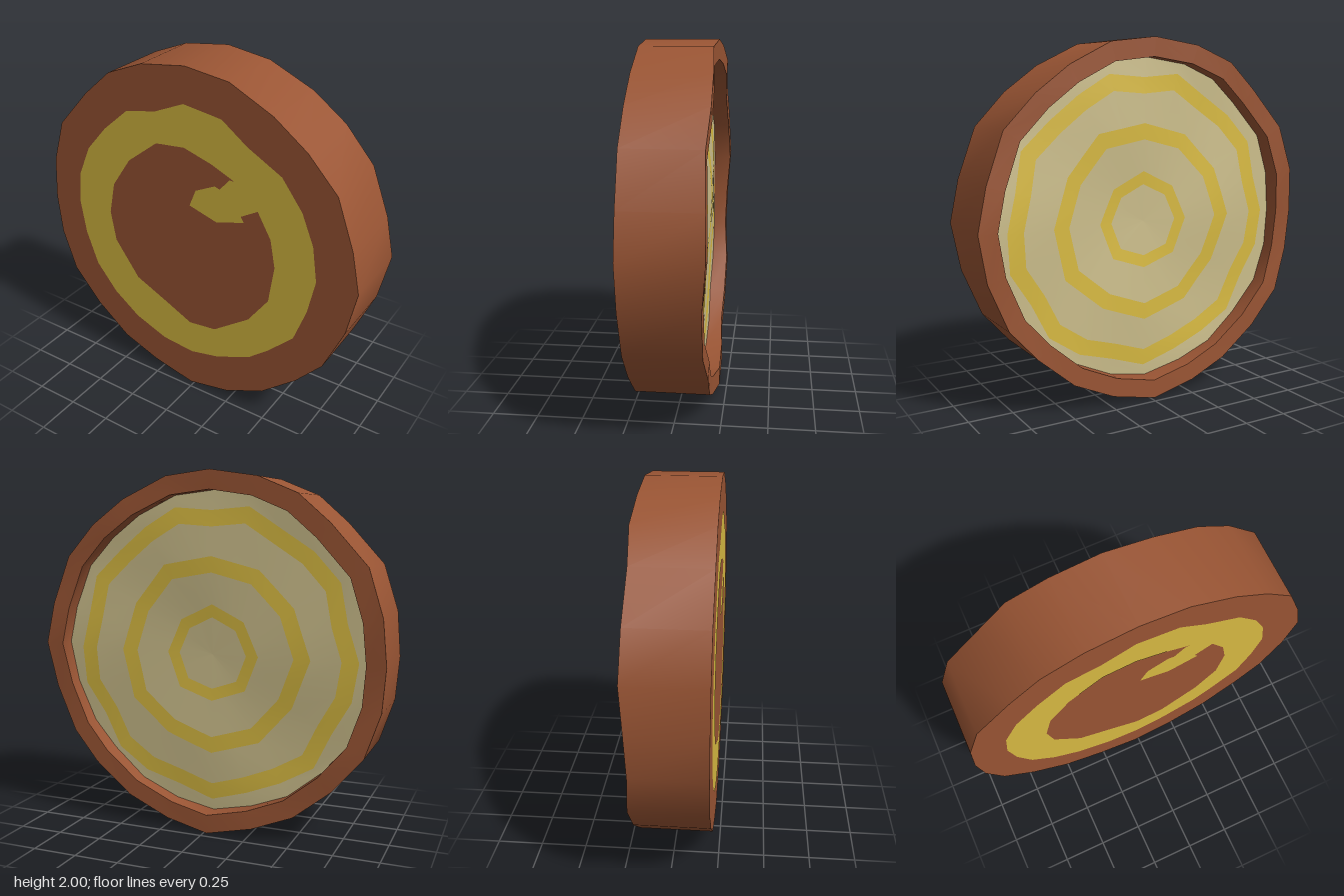
import * as THREE from 'three';

const SIDES = 24, FRONT = 0.215;

// Outline of the bark, clockwise from the top as seen from the front
const OUTLINE = [
  [-0.03, 2], [0.23, 1.97], [0.48, 1.85], [0.67, 1.71], [0.84, 1.53], [0.94, 1.26],
  [0.99, 1.03], [0.94, 0.77], [0.83, 0.51], [0.68, 0.34], [0.47, 0.16], [0.23, 0.05],
  [-0.02, 0], [-0.28, 0.06], [-0.51, 0.15], [-0.72, 0.32], [-0.89, 0.52], [-0.97, 0.76],
  [-0.99, 1], [-0.97, 1.25], [-0.89, 1.5], [-0.69, 1.72], [-0.52, 1.87], [-0.3, 1.96]];

// Painted ring on the front: outer edge, and inner edge with its small inward spur
const RING_OUTER = [
  [-0.04, 1.8], [0.19, 1.77], [0.34, 1.66], [0.54, 1.55], [0.66, 1.39], [0.73, 1.22],
  [0.76, 1.02], [0.72, 0.82], [0.65, 0.62], [0.5, 0.47], [0.38, 0.37], [0.17, 0.28],
  [-0.01, 0.24], [-0.21, 0.26], [-0.41, 0.34], [-0.57, 0.46], [-0.7, 0.62], [-0.77, 0.82],
  [-0.8, 1.02], [-0.78, 1.21], [-0.7, 1.39], [-0.57, 1.54], [-0.41, 1.68], [-0.22, 1.72]];
const RING_INNER = [
  [-0.04, 1.56], [0.13, 1.51], [0.27, 1.45], [0.24, 1.45], [0.18, 1.38], [0.15, 1.39],
  [0.03, 1.33], [-0.01, 1.23], [0.16, 1.18], [0.33, 1.23], [0.31, 1.26], [0.41, 1.32],
  [0.49, 1.18], [0.52, 1.02], [0.49, 0.8], [0.37, 0.63], [0.15, 0.47], [-0.02, 0.45],
  [-0.18, 0.53], [-0.39, 0.63], [-0.54, 0.84], [-0.57, 1.02], [-0.53, 1.21], [-0.41, 1.39],
  [-0.22, 1.54]];

const bark = new THREE.MeshStandardMaterial({ color: 0x9a5534 });
const yellow = new THREE.MeshStandardMaterial({ color: 0xd9bb42 });
const cream = new THREE.MeshStandardMaterial({ color: 0xcdbf8c });

// Strip of quads between two closed loops of points
function band(name, a, b, material) {
  const index = [];
  for (let k = 0; k < SIDES; k++) {
    const n = (k + 1) % SIDES;
    index.push(k, n, k + SIDES, n, n + SIDES, k + SIDES);
  }
  const geometry = new THREE.BufferGeometry();
  geometry.setAttribute('position', new THREE.Float32BufferAttribute([...a, ...b].flat(), 3));
  geometry.setIndex(index);
  geometry.computeVertexNormals();
  const mesh = new THREE.Mesh(geometry, material);
  mesh.name = name;
  return mesh;
}

// Bark outline scaled about the middle, at a depth given by a rule
const barkLoop = (scale, depth) =>
  OUTLINE.map(([x, y], k) => [x * scale, 1 + (y - 1) * scale, depth(x * scale, y, k)]);

// Uneven depths of the bark rim and of the sunken wood
const rimDepth = (x, y, k) => -0.193 + 0.01 * Math.sin(k * 1.9) + 0.007 * Math.sin(k * 0.8 + 1);
const woodDepth = (x, y) => -0.105 + 0.012 * Math.sin(5 * x + 1) * Math.cos(6 * y);

// Growth line: a slightly uneven polygon with fewer corners further in
function growthLoop(radius, corners) {
  const loop = [], step = SIDES / corners;
  const corner = (c) => {
    const i = c % corners, t = (i / corners) * Math.PI * 2;
    const r = radius * (1 + 0.03 * Math.sin(i * 2.3 + corners));
    return [r * Math.sin(t) - 0.01, 1 + r * Math.cos(t)];
  };
  for (let k = 0; k < SIDES; k++) {
    const c = Math.floor(k / step), f = (k % step) / step;
    const p = corner(c), q = corner(c + 1);
    const x = p[0] + (q[0] - p[0]) * f, y = p[1] + (q[1] - p[1]) * f;
    loop.push([x, y, woodDepth(x, y)]);
  }
  return loop;
}

export function createModel() {
  const group = new THREE.Group();
  group.name = 'logSlice';

  // Bark shell: front face, side, back rim and the inner wall of the recess
  const front = barkLoop(1, () => FRONT);
  const rimOuter = barkLoop(1, rimDepth);
  const rimInner = barkLoop(0.895, rimDepth);
  const woodEdge = barkLoop(0.895, (x, y) => woodDepth(x, 1 + (y - 1) * 0.895));
  group.add(
    band('barkFront', barkLoop(0, () => FRONT), front, bark),
    band('barkSide', front, rimOuter, bark),
    band('barkRim', rimOuter, rimInner, bark),
    band('barkInnerWall', rimInner, woodEdge, bark));

  // Sunken wood: alternating cream wood and yellow growth rings
  const loops = [woodEdge,
    growthLoop(0.81, 24), growthLoop(0.72, 24),
    growthLoop(0.55, 12), growthLoop(0.46, 12),
    growthLoop(0.27, 8), growthLoop(0.2, 8), growthLoop(0, 8)];
  for (let i = 0; i < loops.length - 1; i++) {
    const ring = i % 2 === 1;
    group.add(band(ring ? 'growthRing' : 'wood', loops[i], loops[i + 1], ring ? yellow : cream));
  }

  // Painted ring lying on the front face
  const points = (list) => list.map(([x, y]) => new THREE.Vector2(x, y));
  const shape = new THREE.Shape(points(RING_OUTER));
  shape.holes.push(new THREE.Path(points(RING_INNER)));
  const frontRing = new THREE.Mesh(new THREE.ShapeGeometry(shape), yellow);
  frontRing.name = 'frontRing';
  frontRing.position.z = FRONT + 0.002;
  group.add(frontRing);

  return group;
}
